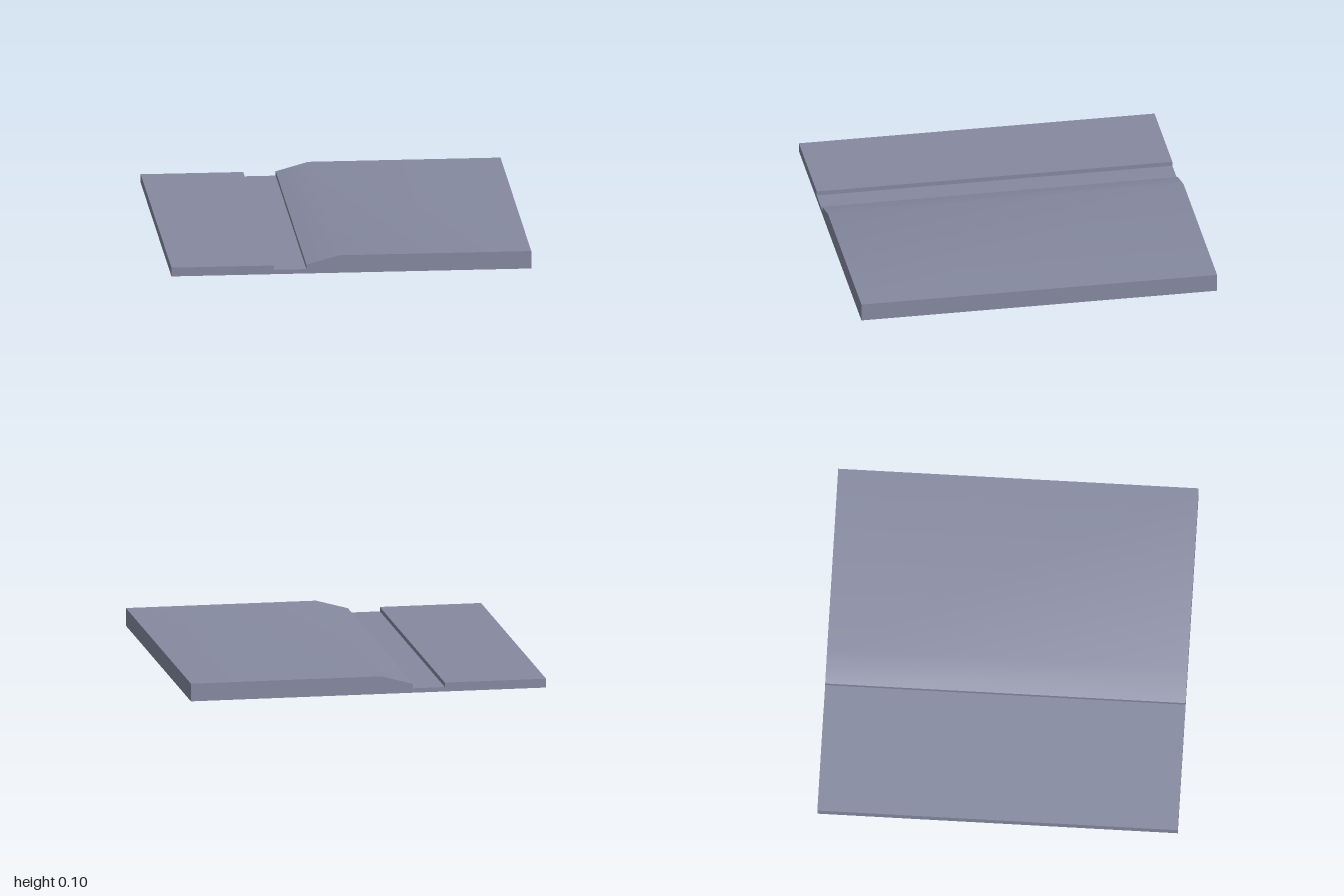
import * as THREE from 'three';
import { toCreasedNormals } from 'three/addons/utils/BufferGeometryUtils.js';

const paint = (name, color) => {
  const m = new THREE.MeshStandardMaterial({ color });
  m.name = name;
  return m;
};

export function createModel() {
  const materials = [
    paint('slateBlue', 0x868aa0),
    paint('charcoal', 0x404040),
    paint('darkBrown', 0x8e5646),
    paint('brown', 0xb2705c),
    paint('grey', 0xbababa),
  ];

  // Underside bands: [x start, x end, material index]
  const bands = [
    [-1, -0.91, 0],
    [-0.91, -0.77, 4],
    [-0.77, -0.56, 3],
    [-0.56, -0.43, 2],
    [-0.43, -0.25, 1],
    [-0.25, 1, 0],
  ];

  // Cross-section: flat underside, raised slab, ramp, sunken channel, low slab
  const profile = [
    ...bands.map(([x]) => [x, 0]),
    [1, 0], [1, 0.1], [-0.07, 0.1], [-0.25, 0.05], [-0.25, 0.025],
    [-0.43, 0.025], [-0.43, 0.05], [-1, 0.05],
  ];
  const shape = new THREE.Shape(profile.map(([x, y]) => new THREE.Vector2(x, y)));
  let geometry = new THREE.ExtrudeGeometry(shape, { depth: 2, bevelEnabled: false });
  geometry.translate(0, 0, -1);
  geometry = toCreasedNormals(geometry, Math.PI / 9);

  // Colour each underside triangle by the band it lies in
  geometry.clearGroups();
  const p = geometry.attributes.position;
  const n = geometry.attributes.normal;
  for (let i = 0; i < p.count; i += 3) {
    const x = (p.getX(i) + p.getX(i + 1) + p.getX(i + 2)) / 3;
    const band = n.getY(i) < -0.9 && bands.find(([a, b]) => x > a && x < b);
    geometry.addGroup(i, 3, band ? band[2] : 0);
  }

  const slab = new THREE.Mesh(geometry, materials);
  slab.name = 'steppedGroundSlab';
  const group = new THREE.Group();
  group.name = 'groundTile';
  group.add(slab);
  return group;
}
